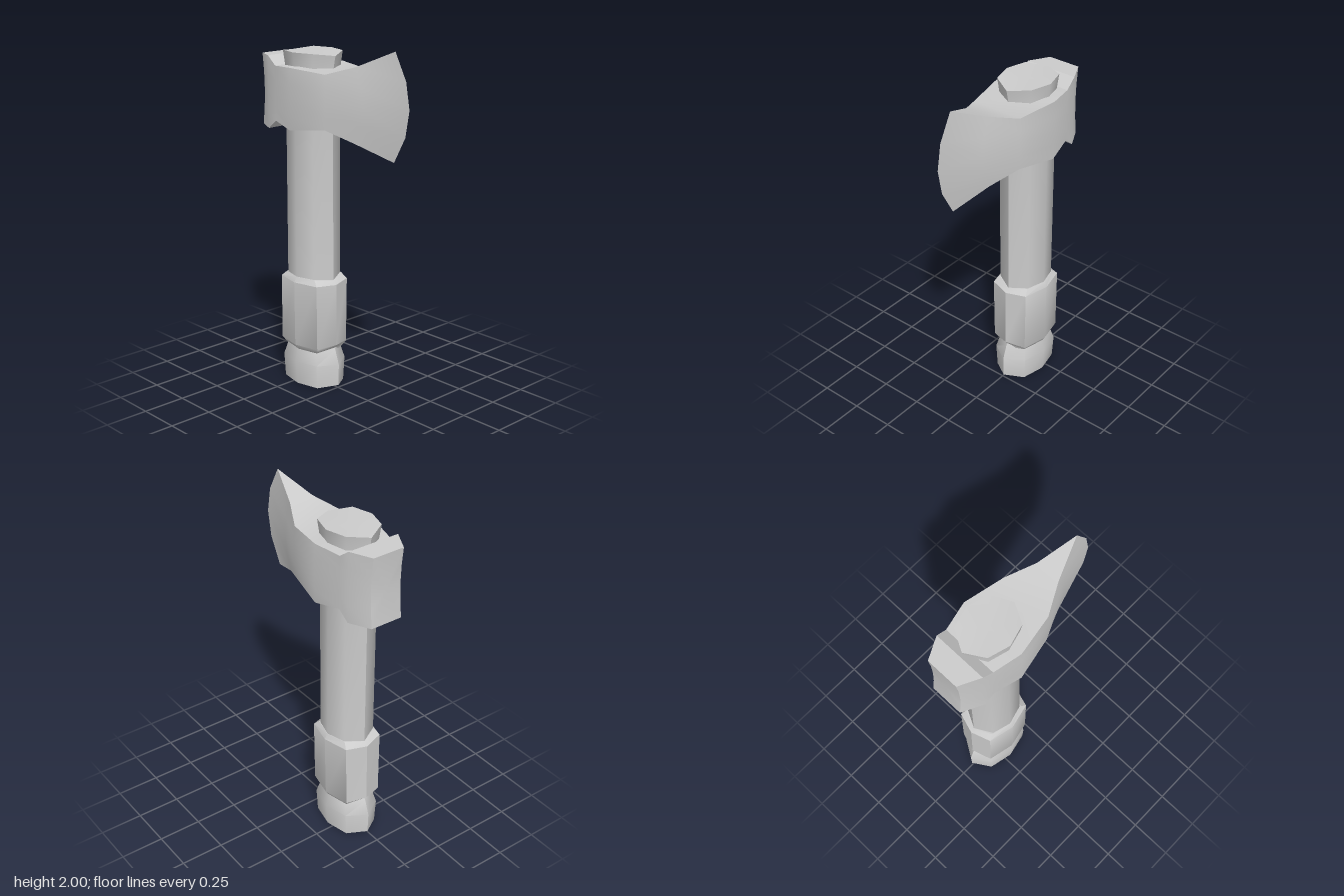
import * as THREE from 'three';
import { toCreasedNormals } from 'three/addons/utils/BufferGeometryUtils.js';

// Skin a row of closed rings and cap the ends
function loft(rings, crease) {
  const pos = [];
  const tri = (...pts) => pts.forEach(p => pos.push(...p));
  const n = rings[0].length;
  for (let i = 0; i < rings.length - 1; i++) {
    for (let j = 0; j < n; j++) {
      const k = (j + 1) % n;
      const [a, b, c, d] = [rings[i][j], rings[i][k], rings[i + 1][k], rings[i + 1][j]];
      tri(a, b, c);
      tri(a, c, d);
    }
  }
  const cap = (ring, flip) => {
    const mid = [0, 1, 2].map(e => ring.reduce((s, p) => s + p[e], 0) / n);
    ring.forEach((a, j) => {
      const b = ring[(j + 1) % n];
      if (flip) tri(b, a, mid); else tri(a, b, mid);
    });
  };
  cap(rings[0], true);
  cap(rings[rings.length - 1], false);
  const geo = new THREE.BufferGeometry();
  geo.setAttribute('position', new THREE.Float32BufferAttribute(pos, 3));
  return toCreasedNormals(geo, crease);
}

// Stretched octagon; lift moves its two outer points up or down
function octagon([y, rx, rz, cx = -0.207, dx = 0.67, lift = 0]) {
  const u = [1, dx, 0, -dx, -1, -dx, 0, dx];
  const w = [0, -0.77, -1, -0.77, 0, 0.77, 1, 0.77];
  return u.map((v, i) => [cx + v * rx, y + (i % 4 === 0 ? lift : 0), -0.006 + w[i] * rz]);
}

// Head section: front side downwards, back side upwards, bulging at mid height
function headSection([x, top, bottom, hz, bulge = 0, swell = 0, zc = -0.006]) {
  const side = s => [0, 0.25, 0.5, 0.75, 1].map(t => {
    const m = 1 - (2 * t - 1) ** 2;
    return [x + bulge * m, top + (bottom - top) * t, zc + s * (hz + swell * m)];
  });
  return [...side(1), ...side(-1).reverse()];
}

export function createModel() {
  const model = new THREE.Group();
  const grey = new THREE.MeshStandardMaterial({ color: 0xcccccc });
  grey.name = 'plain grey';
  const add = (name, geo) => {
    const mesh = new THREE.Mesh(geo, grey);
    mesh.name = name;
    model.add(mesh);
  };

  // Flared end of the handle
  add('pommel', loft([
    [0, 0.208, 0.134, -0.21, 0.67, 0.012],
    [0.14, 0.212, 0.145, -0.21],
    [0.215, 0.182, 0.125, -0.21, 0.67, 0.01],
    [0.25, 0.165, 0.12],
  ].map(octagon), 0.85));

  // Thick wrapped grip with chamfered ends
  add('grip', loft([
    [0.205, 0.165, 0.115],
    [0.22, 0.17, 0.132, -0.207, 0.8, 0.015],
    [0.245, 0.19, 0.148, -0.21, 0.8, 0.012],
    [0.63, 0.188, 0.154, -0.207, 0.8, -0.005],
    [0.66, 0.165, 0.136, -0.207, 0.72, -0.012],
  ].map(octagon), 0.6));

  // Shaft running through the head, flaring at the top
  add('shaft', loft([
    [0.6, 0.163, 0.134],
    [1.84, 0.163, 0.134],
    [1.945, 0.182, 0.147, -0.207, 0.66, -0.015],
  ].map(octagon), 0.85));

  // Axe head from the poll to the cutting edge
  add('axeHead', loft([
    [-0.525, 1.906, 1.5, 0.095, 0.015],
    [-0.405, 1.91, 1.5, 0.156],
    [-0.34, 1.86, 1.552, 0.16],
    [-0.18, 1.87, 1.525, 0.196, 0, 0.005],
    [0.055, 1.855, 1.555, 0.152, 0.005, 0.004],
    [0.21, 1.905, 1.492, 0.073, 0.05],
    [0.42, 2.0, 1.415, 0, 0.105, 0, -0.01],
  ].map(headSection), 0.65));

  return model;
}
